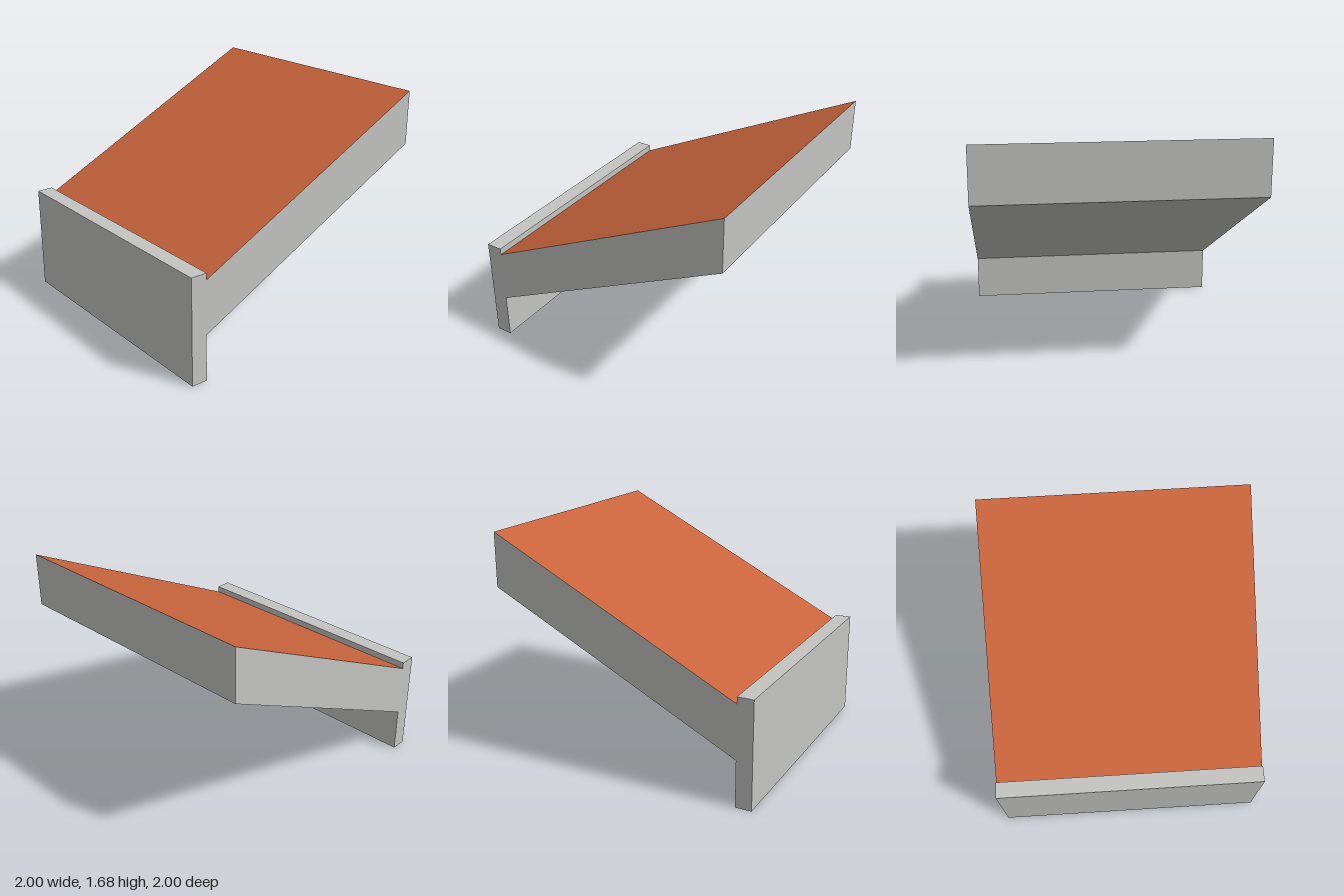
import * as THREE from 'three';

const concrete = new THREE.MeshStandardMaterial({ color: 0xc3c3c1 });
concrete.name = 'concrete grey';
const terracotta = new THREE.MeshStandardMaterial({ color: 0xc8643c });
terracotta.name = 'terracotta';

const WIDTH = 2;

export function createModel() {
  const group = new THREE.Group();
  group.name = 'slopedRoofWithParapet';

  // Side profile of parapet and sloping slab, as [-z, y]
  const profile = [
    [-1, 0], [-0.88, 0], [-0.88, 0.345], [1, 1.285],
    [1, 1.685], [-0.88, 0.745], [-0.88, 0.795], [-1, 0.795],
  ].map(([x, y]) => new THREE.Vector2(x, y));

  const geometry = new THREE.ExtrudeGeometry(new THREE.Shape(profile), {
    depth: WIDTH, bevelEnabled: false,
  });
  geometry.translate(0, 0, -WIDTH / 2);
  geometry.rotateY(Math.PI / 2);

  // The upward-facing slope is the roof covering; all other faces are concrete
  const normal = geometry.attributes.normal;
  geometry.clearGroups();
  for (let i = 0; i < normal.count; i += 3) {
    const ny = normal.getY(i);
    geometry.addGroup(i, 3, ny > 0.5 && ny < 0.95 ? 1 : 0);
  }

  const roof = new THREE.Mesh(geometry, [concrete, terracotta]);
  roof.name = 'roofSlabAndParapet';
  group.add(roof);
  return group;
}
